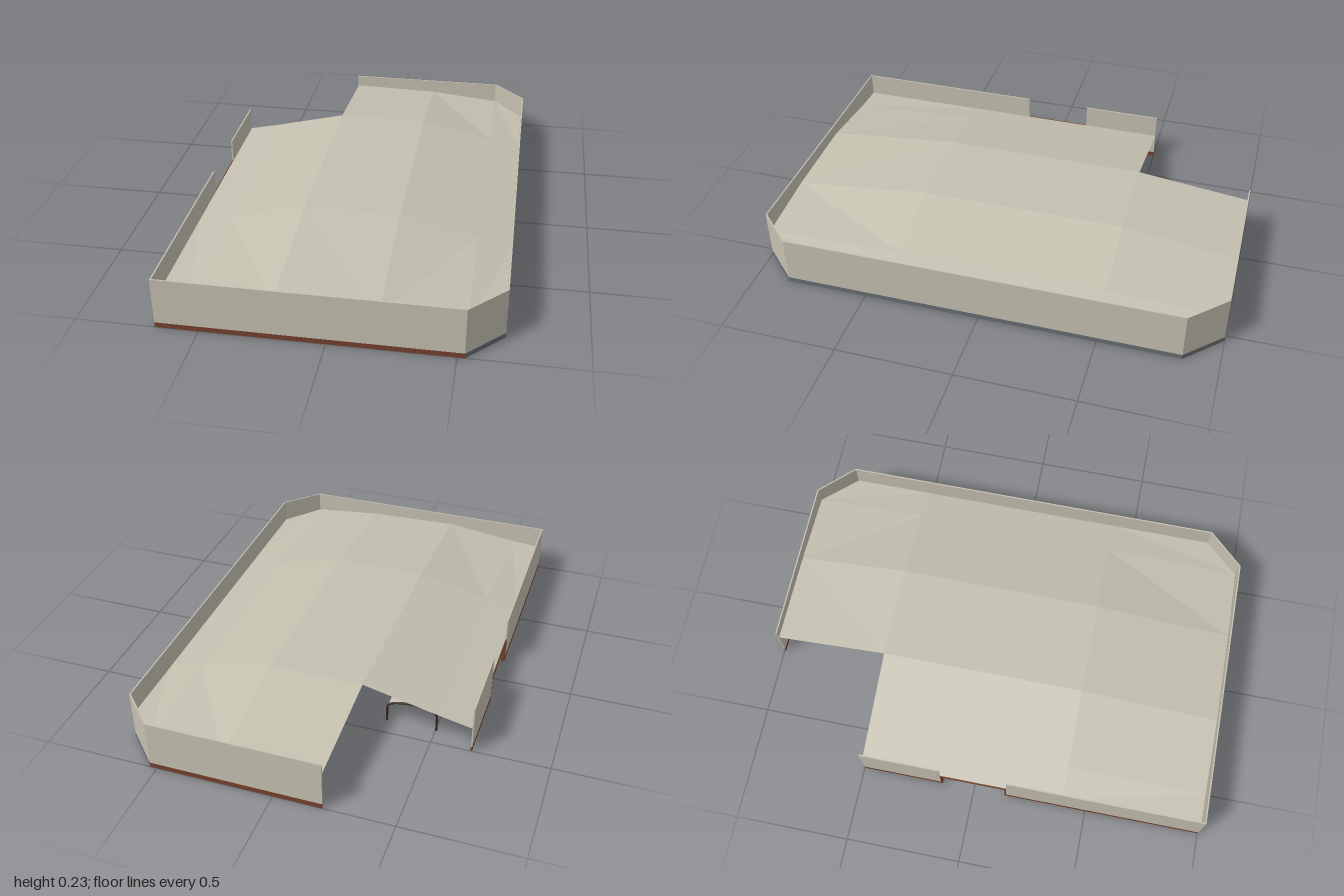
import * as THREE from 'three';

export function createModel() {
  const model = new THREE.Group();
  const material = (name, color, extra = {}) => {
    const m = new THREE.MeshStandardMaterial({ color, ...extra });
    m.name = name;
    return m;
  };
  const plaster = material('plaster', 0xc4c0b0, { side: THREE.DoubleSide });
  const wood = material('redWood', 0x74402c);
  const slate = material('slate', 0x656c70);
  const iron = material('darkIron', 0x3a2a22);
  const H = 0.223, BASE = 0.022, T = 0.006;

  const add = (name, geometry, mat, parent = model) => {
    const mesh = new THREE.Mesh(geometry, mat);
    mesh.name = name;
    parent.add(mesh);
    return mesh;
  };
  // Box given by its minimum and maximum corners
  const box = (name, mat, x0, y0, z0, x1, y1, z1, parent) => {
    const m = add(name, new THREE.BoxGeometry(x1 - x0, y1 - y0, z1 - z0), mat, parent);
    m.position.set((x0 + x1) / 2, (y0 + y1) / 2, (z0 + z1) / 2);
    return m;
  };
  // Upright slab between two floor points, its outer face on the line
  const slab = (name, mat, a, b, y0, y1) => {
    const dx = b[0] - a[0], dz = b[1] - a[1], len = Math.hypot(dx, dz);
    const m = add(name, new THREE.BoxGeometry(len, y1 - y0, T), mat);
    m.position.set((a[0] + b[0]) / 2 + (dz / len) * T / 2, (y0 + y1) / 2,
      (a[1] + b[1]) / 2 - (dx / len) * T / 2);
    m.rotation.y = Math.atan2(-dz, dx);
  };

  // Outer walls with their skirting, leaving the doorway and the rear corner open
  const walls = [
    ['frontWall', wood, [-0.675, 1], [0.53, 1]],
    ['frontCornerWall', slate, [0.53, 1], [0.675, 0.85]],
    ['leftWall', slate, [0.675, 0.85], [0.675, -0.85]],
    ['rearCornerWall', slate, [0.675, -0.85], [0.53, -1]],
    ['backWall', wood, [0.53, -1], [-0.205, -1]],
    ['rightWallRear', wood, [-0.675, -0.5], [-0.675, -0.15]],
    ['rightWallFront', wood, [-0.675, 0.145], [-0.675, 1]],
  ];
  for (const [name, skirting, a, b] of walls) {
    slab(name, plaster, a, b, BASE, H);
    slab(name + 'Skirting', skirting, a, b, 0, BASE);
  }

  // Door frame
  box('doorPostFront', wood, -0.675, 0, 0.137, -0.66, 0.12, 0.15);
  box('doorPostRear', wood, -0.675, 0, -0.155, -0.66, 0.12, -0.142);
  box('doorLintel', wood, -0.675, 0.108, -0.15, -0.66, 0.12, 0.145);

  // Faceted hipped roof over the plan, with the rear right corner missing
  const xs = [-0.67, -0.53, -0.203, 0.203, 0.53, 0.67];
  const zs = [-0.996, -0.5, 0.39, 0.996];
  const middle = [0.12, 0.15, 0.228, 0.228, 0.15, 0.12];
  const ends = [0.12, 0.13, 0.17, 0.16, 0.13, 0.12];
  const vertex = (i, j) => {
    const end = j === 0 || j === 3;
    const z = end && i === 5 ? Math.sign(zs[j]) * 0.85 : zs[j];
    return [xs[i], (end ? ends : middle)[i], z];
  };
  const faces = [];
  for (let j = 0; j < 3; j++) {
    for (let i = j === 0 ? 2 : 0; i < 5; i++) {
      const a = vertex(i, j), b = vertex(i + 1, j);
      const c = vertex(i + 1, j + 1), d = vertex(i, j + 1);
      const alongAC = (j === 2 && i < 3) || (j === 0 && i >= 3 ? false : j === 1);
      const alongBD = !alongAC;
      if (j === 0 && i >= 3) faces.push(a, d, c, a, c, b);
      else if (alongBD) faces.push(a, d, b, b, d, c);
      else faces.push(a, d, c, a, c, b);
    }
  }
  const roofGeometry = new THREE.BufferGeometry();
  roofGeometry.setAttribute('position', new THREE.Float32BufferAttribute(faces.flat(), 3));
  roofGeometry.computeVertexNormals();
  add('roof', roofGeometry, plaster);

  // Roof height, for hanging things from it
  const roofY = (x, z) => {
    const ax = Math.abs(x);
    const y = ax < 0.2 ? 0.228 : 0.228 - (ax - 0.2) * 0.235;
    const out = Math.max(0, z - 0.39, -0.5 - z);
    return Math.max(0.12, y - out * 0.115);
  };

  // Raised floor behind the counter
  const strip = new THREE.Shape([[0.5, -0.96], [0.53, -0.99], [0.668, -0.85], [0.668, 0.85],
    [0.53, 0.99], [0.5, 0.96]].map(([x, z]) => new THREE.Vector2(x, -z)));
  const stripGeometry = new THREE.ExtrudeGeometry(strip, { depth: 0.018, bevelEnabled: false });
  stripGeometry.rotateX(-Math.PI / 2);
  add('serviceFloor', stripGeometry, slate);

  // L-shaped counter: plinth, body and top
  const counter = new THREE.Group();
  counter.name = 'counter';
  model.add(counter);
  for (const [name, mat, y0, y1] of [['Plinth', slate, 0, 0.018],
    ['Body', plaster, 0.018, 0.1], ['Top', wood, 0.1, 0.11]]) {
    box('counterLong' + name, mat, 0.185, y0, -0.44, 0.305, y1, 0.4, counter);
    box('counterReturn' + name, mat, 0.185, y0, 0.4, 0.5, y1, 0.5, counter);
  }

  // Two square booths: bench on three sides, posts and a table
  for (const z of [0.245, -0.215]) {
    const booth = new THREE.Group();
    booth.name = 'booth';
    booth.position.z = z;
    model.add(booth);
    box('benchBack', wood, -0.05, 0, -0.145, -0.02, 0.03, 0.145, booth);
    for (const s of [-1, 1]) {
      box('benchSide', wood, -0.02, 0, s * 0.13 - 0.015, 0.15, 0.03, s * 0.13 + 0.015, booth);
      box('boothPost', iron, -0.045, 0.03, s * 0.13 - 0.005, -0.035, 0.09, s * 0.13 + 0.005, booth);
    }
    box('boothTable', wood, 0.02, 0.045, -0.07, 0.14, 0.053, 0.07, booth);
    box('tableLeg', iron, 0.075, 0, -0.006, 0.087, 0.045, 0.006, booth);
  }

  // Row of arched hoops with curved canopies beside the right wall
  const archPoint = (t) => new THREE.Vector3(
    -0.395 - 0.108 * Math.cos(t), 0.075 + 0.035 * Math.sin(t), 0);
  const hoopPath = [new THREE.Vector3(-0.503, 0, 0)];
  for (let k = 0; k <= 8; k++) hoopPath.push(archPoint((k / 8) * Math.PI));
  hoopPath.push(new THREE.Vector3(-0.287, 0, 0));
  const hoopCurve = new THREE.CurvePath();
  for (let k = 1; k < hoopPath.length; k++) {
    hoopCurve.add(new THREE.LineCurve3(hoopPath[k - 1], hoopPath[k]));
  }
  const hoopGeometry = new THREE.TubeGeometry(hoopCurve, 48, 0.005, 6);
  const canopyGeometry = new THREE.PlaneGeometry(1, 0.11, 10, 1);
  const cp = canopyGeometry.attributes.position;
  for (let k = 0; k < cp.count; k++) {
    const p = archPoint((cp.getX(k) + 0.5) * Math.PI);
    cp.setXYZ(k, p.x, p.y, -cp.getY(k));
  }
  canopyGeometry.computeVertexNormals();
  for (let k = 0; k < 8; k++) {
    const z = -0.42 + k * 0.18;
    add('hoop', hoopGeometry, iron).position.z = z;
    if (k < 7) add('canopy', canopyGeometry, plaster).position.z = z + 0.06;
  }

  // Hanging lamps
  const lamp = (x, z) => {
    const top = roofY(x, z) - 0.006, low = top - 0.05;
    const rod = add('lampRod', new THREE.CylinderGeometry(0.002, 0.002, top - low, 5), iron);
    rod.position.set(x, (top + low) / 2, z);
    const shade = add('lampShade', new THREE.CylinderGeometry(0.003, 0.009, 0.012, 8), iron);
    shade.position.set(x, low, z);
  };
  for (const z of [-0.75, -0.3, 0.1, 0.5, 0.8]) {
    lamp(0.4, z);
    lamp(0.05, z);
    if (z > -0.5) lamp(-0.2, z);
  }
  return model;
}
